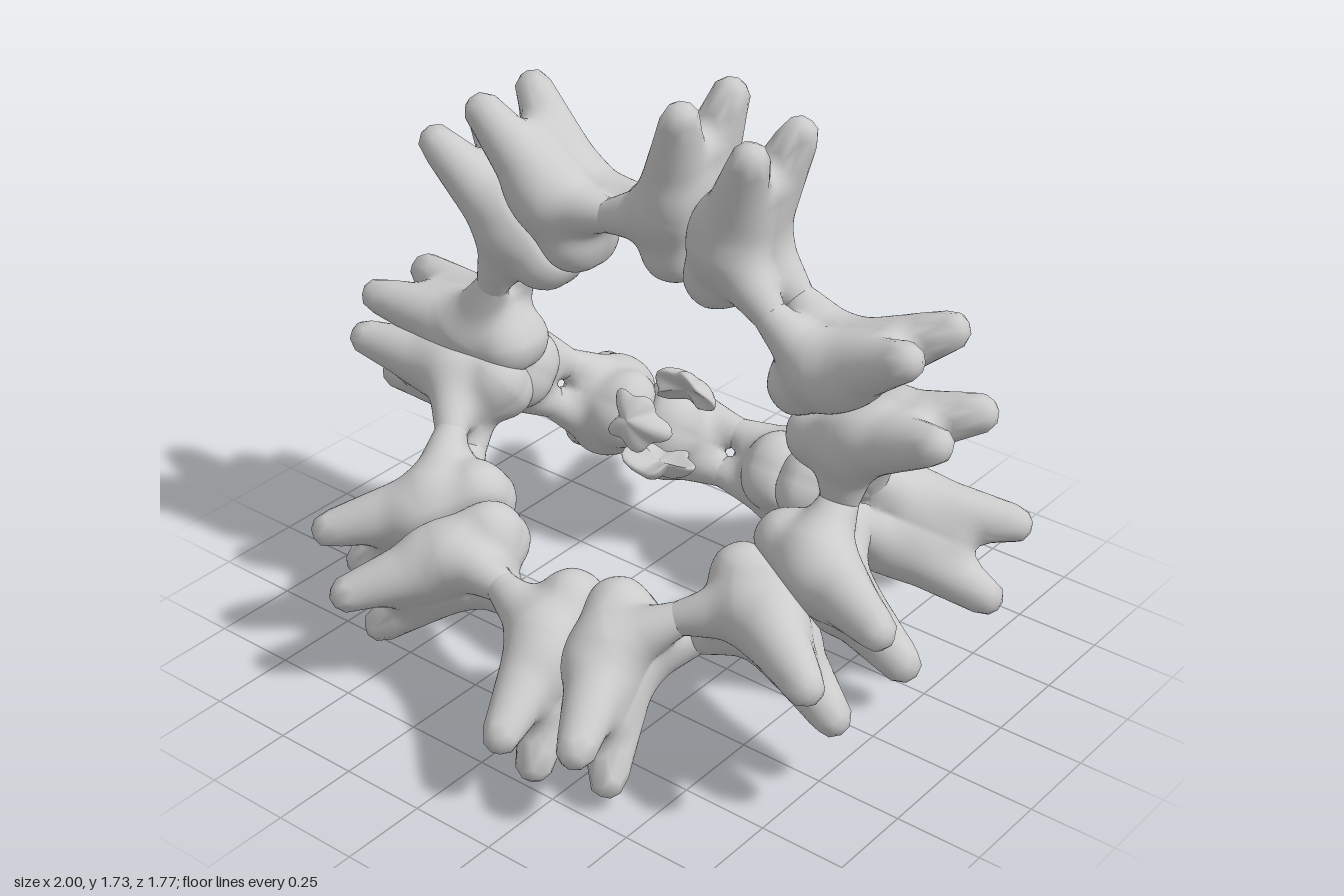
import * as THREE from 'three';

const STEP = (Math.PI * 2) / 7; // seven lobe pairs would fill a whole ring
const FOLD = THREE.MathUtils.degToRad(127);
const grey = new THREE.MeshStandardMaterial({ color: 0xcccccc });

// Tapered limbs of one lobe: [x, y, z, radius] to [x, y, z, radius], y pointing out of the ring
const lobeLimbs = (lean) => [
  [[0.095, 0.70, 0.05, 0.097], [0.112 + lean, 0.972, 0.102, 0.053]], // horn
  [[0.09, 0.70, 0, 0.1], [0.105 + lean / 2, 0.84, 0, 0.065]], // filling between the horns
  [[0.075, 0.72, 0.05, 0.088], [0.075, 0.56, 0.035, 0.08]], // body
  [[0.075, 0.57, 0, 0.098], [0.195, 0.59, 0, 0.05]], // inner foot and web
  [[0.12, 0.655, 0.06, 0.082], [0.274, 0.562, 0.062, 0.045]], // strand to the neck
];

function limbDistance(p, [a, b]) {
  const dx = b[0] - a[0], dy = b[1] - a[1], dz = b[2] - a[2];
  const px = p.x - a[0], py = p.y - a[1], pz = Math.abs(p.z) - a[2];
  const h = THREE.MathUtils.clamp((px * dx + py * dy + pz * dz) / (dx * dx + dy * dy + dz * dz), 0, 1);
  return Math.hypot(px - dx * h, py - dy * h, pz - dz * h) - (a[3] + (b[3] - a[3]) * h);
}

function smoothMin(a, b, k) {
  const h = Math.max(k - Math.abs(a - b), 0) / k;
  return Math.min(a, b) - h * h * k * 0.25;
}

// Blended limbs, trimmed softly just past the seam plane x = 0
function lobeDistance(p, limbs) {
  const d = limbs.map((limb) => limbDistance(p, limb)).reduce((a, b) => smoothMin(a, b, 0.045));
  return -smoothMin(-d, p.x + 0.008, 0.025);
}

// Push a sphere's vertices out to the blended surface; side -1 gives the mirrored lobe
function lobeGeometry(side, lean) {
  const limbs = lobeLimbs(lean * side);
  const geo = new THREE.IcosahedronGeometry(1, 15);
  const pos = geo.attributes.position, nor = geo.attributes.normal;
  const core = new THREE.Vector3(0.105, 0.67, 0);
  const dir = new THREE.Vector3(), p = new THREE.Vector3(), q = new THREE.Vector3(), n = new THREE.Vector3();
  const e = 0.006;
  for (let i = 0; i < pos.count; i++) {
    dir.fromBufferAttribute(pos, i).normalize();
    dir.x *= side;
    let r = 0.02;
    for (let s = 0; s < 60; s++) {
      const d = lobeDistance(p.copy(core).addScaledVector(dir, r), limbs);
      if (d > -0.0003) break;
      r -= d * 0.8; // distance is negative inside, so this steps outward
    }
    p.copy(core).addScaledVector(dir, r);
    for (const axis of ['x', 'y', 'z']) {
      q.copy(p)[axis] += e;
      const ahead = lobeDistance(q, limbs);
      q[axis] -= 2 * e;
      n[axis] = ahead - lobeDistance(q, limbs);
    }
    n.normalize();
    pos.setXYZ(i, p.x * side, p.y, p.z);
    nor.setXYZ(i, n.x * side, n.y, n.z);
  }
  geo.computeBoundingSphere();
  return geo;
}

// Small ragged flake, curling inward along x
function flakeGeometry() {
  const geo = new THREE.SphereGeometry(1, 40, 20);
  const pos = geo.attributes.position;
  for (let i = 0; i < pos.count; i++) {
    const x = pos.getX(i), y = pos.getY(i), z = pos.getZ(i);
    const a = Math.atan2(z, x), rho = Math.hypot(x, z);
    const reach = 0.076 * (1 + 0.17 * Math.cos(5 * a) + 0.12 * Math.sin(2 * a + 0.6) + 0.08 * Math.cos(3 * a));
    const bump = 0.009 * Math.sin(3 * a + 1) * rho;
    pos.setXYZ(i, x * reach * 1.15, y * 0.024 - 0.045 * x * x - 0.012 * z * z + bump, z * reach);
  }
  geo.computeVertexNormals();
  return geo;
}

export function createModel() {
  const model = new THREE.Group();
  model.name = 'foldedRing';

  // Lobes of one half ring: three pairs and a single one, with a slight lean of the horns
  const lobes = [];
  [[0.5, 0], [1.5, 0.024], [2.5, -0.024], [3.5, 0.01]].forEach(([steps, lean]) => {
    for (const side of steps < 3 ? [1, -1] : [1]) {
      lobes.push({ angle: steps * STEP, geometry: lobeGeometry(side, lean) });
    }
  });

  // Three half rings sharing the x axis
  [['upperHalfRing', 0], ['frontHalfRing', FOLD], ['backHalfRing', -FOLD]].forEach(([name, turn]) => {
    const half = new THREE.Group();
    half.name = name;
    lobes.forEach(({ angle, geometry }) => {
      const lobe = new THREE.Mesh(geometry, grey);
      lobe.name = 'hornedLobe';
      lobe.rotation.z = angle - Math.PI / 2;
      half.add(lobe);
    });
    half.rotation.x = turn;
    half.position.set(0.025, 0.72, 0);
    model.add(half);
  });

  // Loose flakes at the centre, one in each gap between half rings
  const flake = flakeGeometry();
  [FOLD / 2, -FOLD / 2, Math.PI].forEach((turn) => {
    const holder = new THREE.Group();
    holder.name = 'centreFlake';
    const mesh = new THREE.Mesh(flake, grey);
    mesh.name = 'flake';
    mesh.position.y = 0.143;
    holder.add(mesh);
    holder.rotation.x = turn;
    holder.position.set(0.012, 0.72, 0);
    model.add(holder);
  });
  return model;
}
